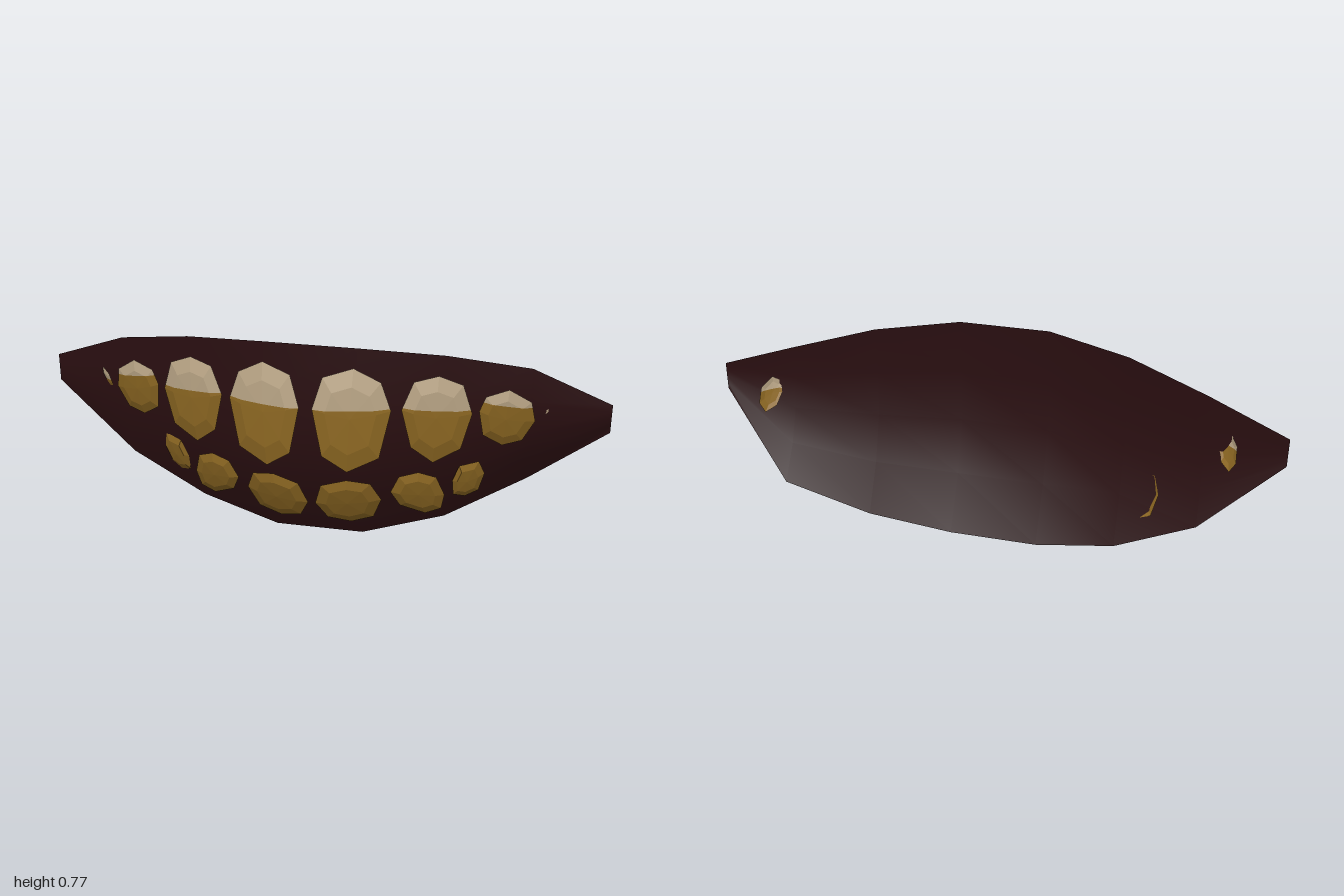
import * as THREE from 'three';

const gumColor = new THREE.MeshStandardMaterial({ color: 0x290e10, side: THREE.DoubleSide });
gumColor.name = 'darkGum';
const ochre = new THREE.MeshStandardMaterial({ color: 0x8c6722, side: THREE.DoubleSide, flatShading: true });
ochre.name = 'ochreTooth';
const cream = new THREE.MeshStandardMaterial({ color: 0xb7a384, side: THREE.DoubleSide, flatShading: true });
cream.name = 'creamTooth';

// Gum sheet columns: x, top y, bottom y, then z from top to bottom
const gumColumns = [
  [-1, 0.58, 0.48, -0.1, -0.1, -0.1, -0.1, -0.1],
  [-0.73, 0.68, 0.21, -0.06, -0.055, -0.06, -0.08, -0.11],
  [-0.45, 0.74, 0.07, 0.04, 0.05, 0.04, -0.01, -0.085],
  [-0.16, 0.77, 0, 0.115, 0.125, 0.12, 0.06, -0.045],
  [0.16, 0.77, 0, 0.115, 0.125, 0.12, 0.06, -0.045],
  [0.45, 0.74, 0.07, 0.04, 0.05, 0.04, -0.015, -0.105],
  [0.73, 0.68, 0.21, -0.06, -0.05, -0.06, -0.11, -0.19],
  [1, 0.58, 0.48, -0.04, -0.04, -0.04, -0.04, -0.04],
];

function makeGum() {
  const pos = [], index = [], rows = 5;
  gumColumns.forEach(([x, top, bottom, ...zs], c) => {
    zs.forEach((z, r) => pos.push(x, THREE.MathUtils.lerp(top, bottom, r / (rows - 1)), z));
    if (c === 0) return;
    for (let r = 0; r < rows - 1; r++) {
      const a = (c - 1) * rows + r, b = c * rows + r;
      index.push(a, a + 1, b, b, a + 1, b + 1);
    }
  });
  const geo = new THREE.BufferGeometry();
  geo.setAttribute('position', new THREE.Float32BufferAttribute(pos, 3));
  geo.setIndex(index);
  geo.computeVertexNormals();
  const mesh = new THREE.Mesh(geo, gumColor);
  mesh.name = 'gum';
  return mesh;
}

// Outlines run clockwise from the top; slope is [dz/dx, dz/dy] of the tooth's plane
const teeth = [
  { name: 'upperFrontTooth', z: 0.155, slope: [-0.24, -0.05], bulge: 0.02, split: 0.567, tilt: 0,
    outline: [[0.155, 0.71], [0.245, 0.66], [0.28, 0.56], [0.245, 0.39], [0.14, 0.34], [0.055, 0.4], [0.022, 0.57], [0.055, 0.68]] },
  { name: 'upperSecondTooth', z: 0.072, slope: [-0.28, 0.03], bulge: 0.02, split: 0.56, tilt: -0.06,
    outline: [[0.43, 0.68], [0.51, 0.645], [0.543, 0.54], [0.51, 0.41], [0.42, 0.36], [0.345, 0.42], [0.312, 0.56], [0.35, 0.66]] },
  { name: 'upperThirdTooth', z: 0, slope: [-0.36, 0.18], bulge: 0.018, split: 0.57, tilt: -0.2,
    outline: [[0.66, 0.628], [0.735, 0.575], [0.75, 0.5], [0.71, 0.425], [0.645, 0.41], [0.58, 0.455], [0.565, 0.55], [0.585, 0.605]] },
  { name: 'upperCornerTooth', z: -0.085, slope: [-0.9, 0.45], bulge: 0.01, split: 0.515, tilt: 0,
    outline: [[0.81, 0.56], [0.838, 0.53], [0.84, 0.48], [0.82, 0.445], [0.79, 0.46], [0.778, 0.5], [0.785, 0.54]] },
  { name: 'lowerFrontTooth', z: 0.07, slope: [-0.2, 0.5], bulge: 0.022, split: 9, tilt: 0,
    outline: [[0.13, 0.287], [0.21, 0.27], [0.243, 0.19], [0.21, 0.1], [0.13, 0.072], [0.05, 0.095], [0.013, 0.17], [0.04, 0.26]] },
  { name: 'lowerSecondTooth', z: 0.02, slope: [-0.33, 0.38], bulge: 0.02, split: 9, tilt: 0,
    outline: [[0.37, 0.312], [0.43, 0.285], [0.457, 0.2], [0.445, 0.135], [0.39, 0.115], [0.305, 0.16], [0.275, 0.225], [0.305, 0.295]] },
  { name: 'lowerThirdTooth', z: -0.035, slope: [-0.45, 0.35], bulge: 0.016, split: 9, tilt: 0,
    outline: [[0.57, 0.338], [0.59, 0.28], [0.57, 0.205], [0.525, 0.182], [0.485, 0.195], [0.482, 0.26], [0.505, 0.325]] },
];

// Keeps the part of a convex polygon where side(p) >= 0
function clip(poly, side) {
  const out = [];
  poly.forEach((p, i) => {
    const q = poly[(i + 1) % poly.length], a = side(p), b = side(q);
    if (a >= 0) out.push(p);
    if ((a > 0 && b < 0) || (a < 0 && b > 0)) out.push(p.clone().lerp(q, a / (a - b)));
  });
  return out;
}

// Shallow faceted dome, cut into a cream tip and an ochre body
function makeTooth(t, mirror) {
  const n = t.outline.length;
  const cx = t.outline.reduce((s, p) => s + p[0], 0) / n;
  const cy = t.outline.reduce((s, p) => s + p[1], 0) / n;
  const point = (i, scale, lift) => {
    const dx = (t.outline[i % n][0] - cx) * scale, dy = (t.outline[i % n][1] - cy) * scale;
    return new THREE.Vector3(cx + dx, cy + dy, t.z + t.slope[0] * dx + t.slope[1] * dy + lift);
  };
  const polys = [];
  for (let i = 0; i < n; i++) {
    const a = point(i, 1, 0), b = point(i + 1, 1, 0);
    const c = point(i, 0.65, t.bulge * 0.8), d = point(i + 1, 0.65, t.bulge * 0.8);
    polys.push([a, c, b], [b, c, d], [c, point(0, 0, t.bulge), d]);
  }
  const edge = (p) => p.y - t.split - t.tilt * (p.x - cx);
  const group = new THREE.Group();
  group.name = (mirror > 0 ? 'left ' : 'right ') + t.name;
  for (const [name, material, side] of [['body', ochre, (p) => -edge(p)], ['tip', cream, edge]]) {
    const pos = [];
    for (const poly of polys) {
      const cut = clip(poly, side);
      for (let k = 1; k < cut.length - 1; k++) {
        const tri = mirror > 0 ? [cut[0], cut[k], cut[k + 1]] : [cut[0], cut[k + 1], cut[k]];
        tri.forEach((p) => pos.push(p.x * mirror, p.y, p.z));
      }
    }
    if (!pos.length) continue;
    const geo = new THREE.BufferGeometry();
    geo.setAttribute('position', new THREE.Float32BufferAttribute(pos, 3));
    geo.computeVertexNormals();
    const mesh = new THREE.Mesh(geo, material);
    mesh.name = name;
    group.add(mesh);
  }
  return group;
}

export function createModel() {
  const model = new THREE.Group();
  model.name = 'toothyMouth';
  model.add(makeGum());
  for (const t of teeth) for (const mirror of [1, -1]) model.add(makeTooth(t, mirror));
  return model;
}
